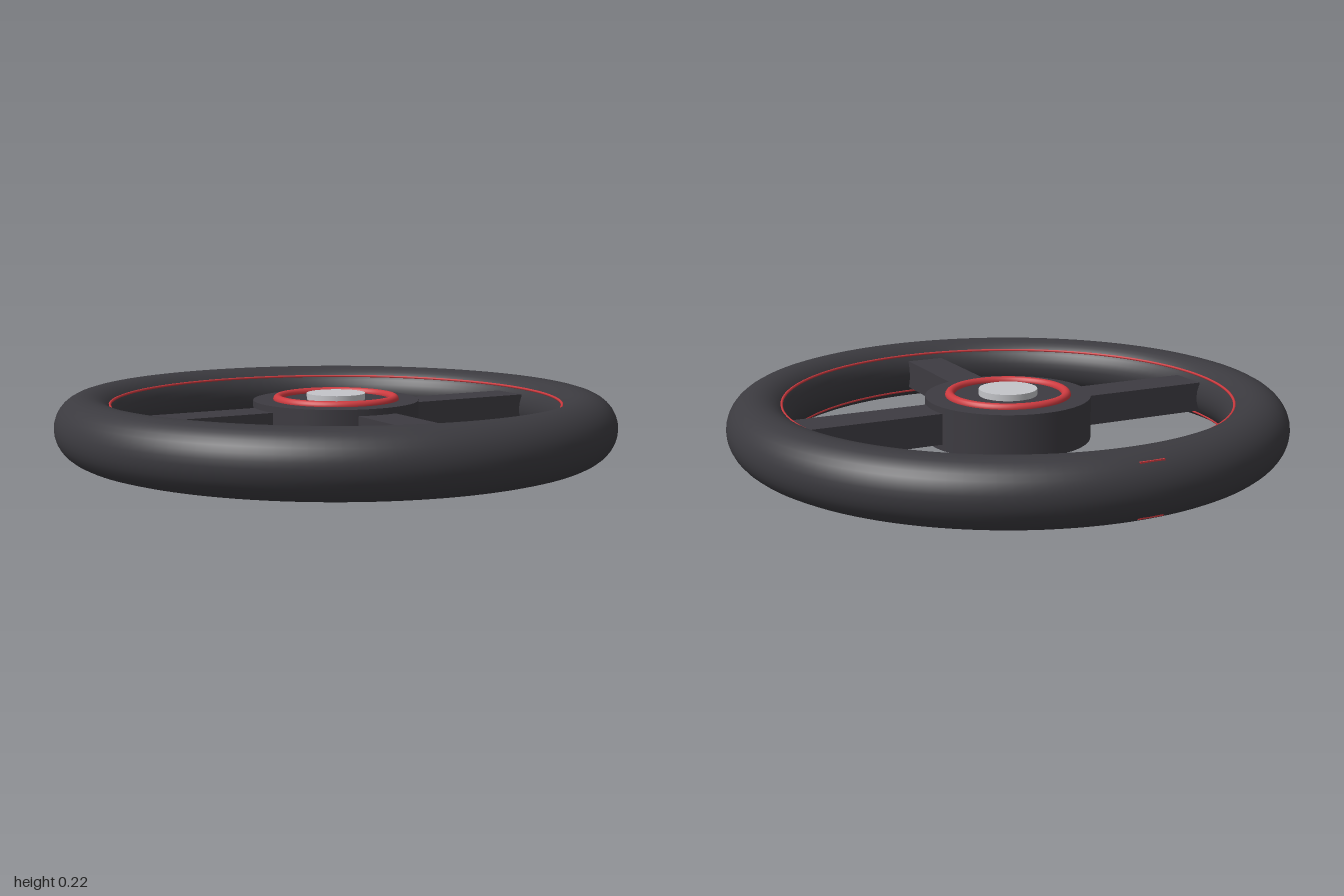
import * as THREE from 'three';

const MID = 0.111; // height of the wheel's middle plane

export function createModel() {
  const wheel = new THREE.Group();
  wheel.name = 'steeringWheel';

  const grip = new THREE.MeshStandardMaterial({ color: 0x3b3a3f });
  grip.name = 'darkGrip';
  const frame = new THREE.MeshStandardMaterial({ color: 0x3d3b41 });
  frame.name = 'darkFrame';
  const red = new THREE.MeshStandardMaterial({ color: 0xcc3a3f });
  red.name = 'redAccent';
  const silver = new THREE.MeshStandardMaterial({ color: 0xc4c5c9 });
  silver.name = 'silver';

  const add = (name, geometry, material, x, y, z) => {
    const mesh = new THREE.Mesh(geometry, material);
    mesh.name = name;
    mesh.position.set(x, y, z);
    wheel.add(mesh);
    return mesh;
  };
  // torus lying flat
  const ring = (radius, tube, sides, segments) =>
    new THREE.TorusGeometry(radius, tube, sides, segments).rotateX(-Math.PI / 2);

  // Rim
  add('rim', ring(0.889, 0.111, 32, 128), grip, 0, MID, 0);

  // Stitch lines on the inner shoulders of the rim, above and below
  for (const side of [1, -1]) {
    add(side > 0 ? 'upperStitch' : 'lowerStitch', ring(0.807, 0.005, 8, 128), red, 0, MID + side * 0.075, 0);
  }

  // Centre mark at the far side of the rim, its edges just breaking the surface
  add('centreMark', new THREE.BoxGeometry(0.088, 0.178, 0.006), red, 0, MID, -0.957);

  // Hub with accent ring and button
  add('hub', new THREE.CylinderGeometry(0.3, 0.3, 0.156, 48), frame, 0, MID, 0);
  add('hubRing', ring(0.211, 0.0167, 16, 64), red, 0, 0.191, 0);
  add('hubButton', new THREE.CylinderGeometry(0.106, 0.106, 0.044, 40), silver, 0, 0.19, 0);

  // Three spokes: left, front and right
  const inner = 0.22, outer = 0.785;
  const spoke = new THREE.BoxGeometry(outer - inner, 0.111, 0.148).translate((inner + outer) / 2, 0, 0);
  [['leftSpoke', 0], ['frontSpoke', -Math.PI / 2], ['rightSpoke', Math.PI]].forEach(([name, angle]) => {
    add(name, spoke, frame, 0, MID, 0).rotation.y = angle;
  });

  return wheel;
}
